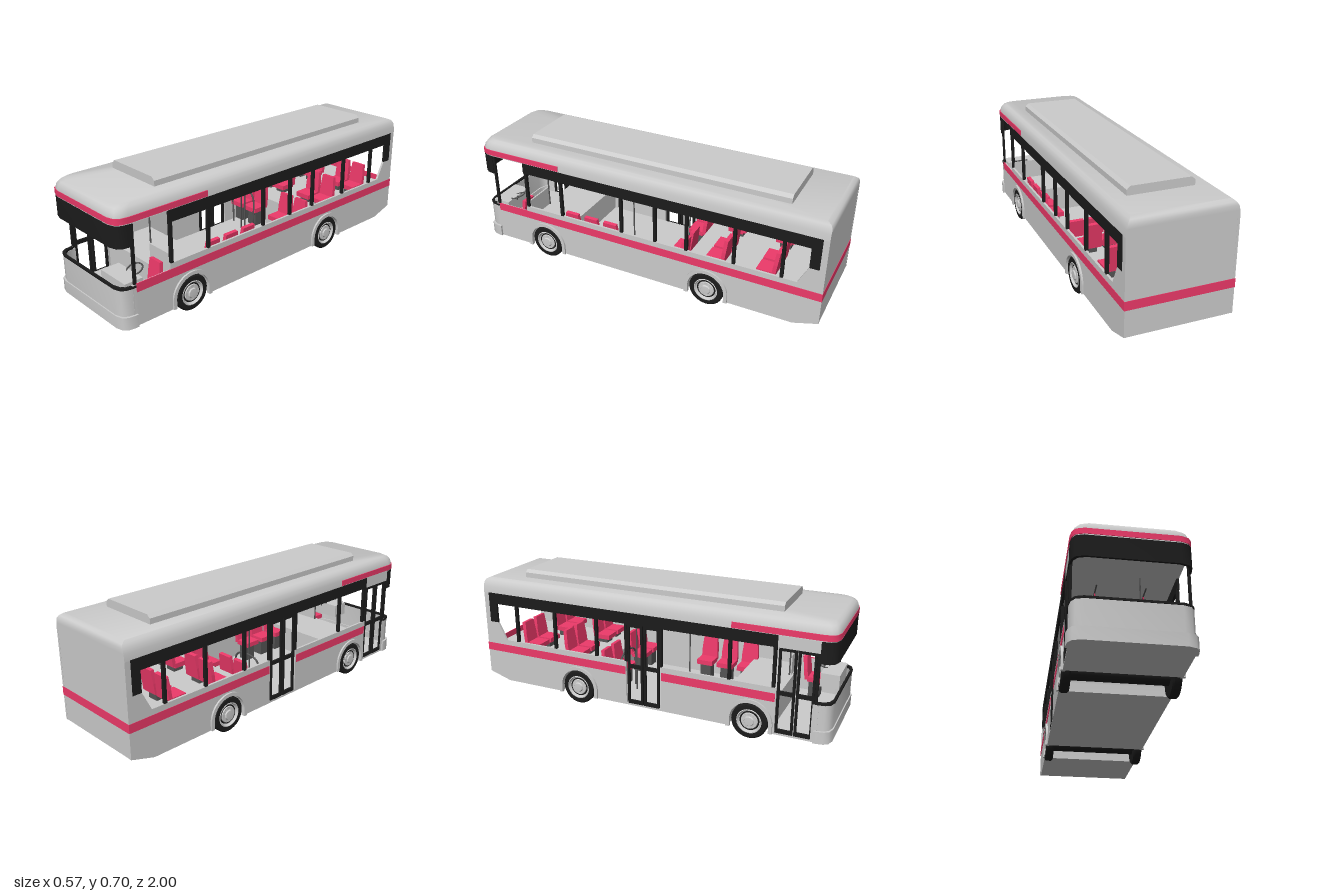
import * as THREE from 'three';
import { toCreasedNormals, mergeVertices } from 'three/addons/utils/BufferGeometryUtils.js';

const paint = (color) => new THREE.MeshStandardMaterial({ color });
const grey = paint(0xcccccc), red = paint(0xee3a6a), black = paint(0x1c1c1c), dark = paint(0x555555);
const HW = 0.273; // half width of the body
const WHEELS = [0.59, -0.4];
const AXLE_Y = 0.095;

const toShape = (pts) => new THREE.Shape(pts.map(([a, b]) => new THREE.Vector2(a, b)));

// Plan outline of the nose with rounded corners, from +x back round to -x back
function nose(hw, zf, zb) {
  const half = [[hw, zb], [hw, zf - 0.07], [hw - 0.006, zf - 0.035], [hw - 0.022, zf - 0.012], [hw - 0.06, zf]];
  return [...half, ...half.map(([x, z]) => [-x, z]).reverse()];
}

// Thin wall following the nose outline between two heights
function noseShell(hw, zf, zb, y0, y1, t) {
  const shape = toShape([...nose(hw, zf, zb), ...nose(hw - t, zf - t, zb).reverse()]);
  const g = new THREE.ExtrudeGeometry(shape, { depth: y1 - y0, bevelEnabled: false });
  return toCreasedNormals(g.rotateX(Math.PI / 2).translate(0, y1, 0), 0.7);
}

// Flat (z, y) shape extruded across x, with its outer face at x1
function across(shape, x1, depth) {
  const g = new THREE.ExtrudeGeometry(shape, { depth, bevelEnabled: false, curveSegments: 24 });
  return toCreasedNormals(g.rotateY(-Math.PI / 2).translate(x1, 0, 0), 0.5);
}

function box(x0, x1, y0, y1, z0, z1) {
  return new THREE.BoxGeometry(x1 - x0, y1 - y0, z1 - z0).translate((x0 + x1) / 2, (y0 + y1) / 2, (z0 + z1) / 2);
}

function tube(pts, r, segments = 1) {
  const v = pts.map((p) => new THREE.Vector3(...p));
  const curve = v.length === 2 ? new THREE.LineCurve3(...v) : new THREE.CatmullRomCurve3(v);
  return new THREE.TubeGeometry(curve, segments, r, 8);
}

// Underside line from front to back with both wheel arches cut out
function bottomLine(shape, zFront, zBack, r) {
  shape.moveTo(zFront, 0.05);
  for (const z of WHEELS) {
    shape.lineTo(z + r, 0.05).lineTo(z + r, AXLE_Y);
    shape.absarc(z, AXLE_Y, r, 0, Math.PI, false);
    shape.lineTo(z - r, 0.05);
  }
  return shape.lineTo(-0.87, 0.05).lineTo(zBack, 0.09);
}

// Roof lofted through shrinking plan outlines
function roofGeometry() {
  const levels = [[0.57, 0, 0, 0], [0.605, 0.003, 0, 0], [0.63, 0.01, 0.006, 0], [0.645, 0.02, 0.016, 0.008], [0.656, 0.034, 0.035, 0.03]];
  const pos = [], idx = [];
  for (const [y, dx, df, db] of levels)
    for (const [x, z] of nose(HW + 0.001 - dx, 0.998 - df, -1 + db)) pos.push(x, y, z);
  const n = 10, top = (levels.length - 1) * n;
  for (let j = 0; j < levels.length - 1; j++)
    for (let i = 0; i < n; i++) {
      const a = j * n + i, b = j * n + (i + 1) % n;
      idx.push(a, a + n, b, b, a + n, b + n);
    }
  for (let i = 1; i < n - 1; i++) idx.push(0, i, i + 1, top, top + i + 1, top + i);
  const g = new THREE.BufferGeometry();
  g.setAttribute('position', new THREE.Float32BufferAttribute(pos, 3));
  g.setIndex(idx);
  return toCreasedNormals(mergeVertices(g), 0.75);
}

export function createModel() {
  const bus = new THREE.Group();
  bus.name = 'bus';
  const add = (name, geometry, material, parent = bus) => {
    const m = new THREE.Mesh(geometry, material);
    m.name = name;
    parent.add(m);
    return m;
  };

  // Roof, rooftop unit and upper stripe
  add('roof', roofGeometry(), grey);
  const unit = toShape([[-0.17, 0.65], [0.17, 0.65], [0.17, 0.684], [0.152, 0.7], [-0.152, 0.7], [-0.17, 0.684]]);
  add('roofUnit', new THREE.ExtrudeGeometry(unit, { depth: 1.49, bevelEnabled: false }).translate(0, 0, -0.78), grey);
  add('upperStripe', noseShell(HW + 0.003, 1, 0.48, 0.575, 0.605, 0.006), red);

  // Nose
  add('visor', noseShell(HW + 0.002, 0.998, 0.92, 0.46, 0.571, 0.01), black);
  add('windshieldSill', noseShell(HW + 0.001, 0.996, 0.91, 0.25, 0.262, 0.012), black);
  add('frontPanel', noseShell(HW, 0.994, 0.9, 0.06, 0.25, 0.012), grey);
  add('bumper', noseShell(0.284, 1, 0.915, 0.05, 0.115, 0.025), grey);

  // Floor with wheel tunnels
  const floor = bottomLine(new THREE.Shape(), 0.975, -0.99, 0.112);
  [[-0.99, 0.24], [-0.27, 0.24], [-0.27, 0.08], [0.45, 0.08], [0.45, 0.225], [0.71, 0.225], [0.71, 0.08], [0.975, 0.08]]
    .forEach(([z, y]) => floor.lineTo(z, y));
  add('floor', across(floor, 0.262, 0.524), grey);

  // Rear wall
  add('rearWall', new THREE.PlaneGeometry(2 * HW, 0.48).rotateY(Math.PI).translate(0, 0.33, -0.999), grey);
  add('rearStripe', box(-HW - 0.002, HW + 0.002, 0.225, 0.27, -1.001, -0.997), red);

  // Side walls; the right side has two doors
  for (const s of [1, -1]) {
    const place = (name, shape, mat, out = 0, depth = 0.012) =>
      add(name, across(shape, s > 0 ? HW + out : -HW - out + depth, depth), mat);
    const low = bottomLine(new THREE.Shape(), 0.93, -1, 0.105);
    const topLine = s > 0
      ? [[-1, 0.3], [0.715, 0.3], [0.715, 0.265], [0.93, 0.265]]
      : [[-1, 0.3], [-0.1, 0.3], [-0.1, 0.06], [0.1, 0.06], [0.1, 0.3], [0.72, 0.3], [0.72, 0.06], [0.91, 0.06], [0.91, 0.262], [0.93, 0.262]];
    topLine.forEach(([z, y]) => low.lineTo(z, y));
    place('lowerSide', low, grey);
    place('rearSide', toShape([[-0.87, 0.3], [-0.92, 0.4], [-0.97, 0.4], [-0.97, 0.57], [-1, 0.57], [-1, 0.3]]), grey);
    place('windowBand', toShape([[0.715, 0.51], [0.715, 0.572], [-0.97, 0.572], [-0.97, 0.4], [-0.92, 0.4], [-0.92, 0.51]]), black, 0.001);
    for (const z of [0.703, 0.475, 0.1, -0.1, -0.28, -0.54, -0.79])
      add('windowPillar', box(s * HW - 0.008, s * HW + 0.008, 0.3, 0.515, z - 0.008, z + 0.008).translate(-s * 0.008, 0, 0), black);
    add('cornerPillar', box(s * 0.266 - 0.006, s * 0.266 + 0.006, 0.255, 0.572, 0.907, 0.921), black);
    const runs = s > 0 ? [[-1, 0.91]] : [[-1, -0.105], [0.105, 0.715]];
    for (const [z0, z1] of runs)
      add('sideStripe', box(s * HW - 0.002, s * HW + 0.002, 0.225, 0.27, z0, z1), red);

    // Wheel arch trims, wheels
    for (const z of WHEELS) {
      const trim = new THREE.Shape().moveTo(z + 0.121, 0.05).lineTo(z + 0.121, AXLE_Y);
      trim.absarc(z, AXLE_Y, 0.121, 0, Math.PI, false);
      trim.lineTo(z - 0.121, 0.05).lineTo(z - 0.102, 0.05).lineTo(z - 0.102, AXLE_Y);
      trim.absarc(z, AXLE_Y, 0.102, Math.PI, 0, true);
      trim.lineTo(z + 0.102, 0.05);
      place('archTrim', trim, grey, 0.01, 0.02);

      const wheel = new THREE.Group();
      wheel.name = 'wheel';
      const lathe = (pts) => toCreasedNormals(
        new THREE.LatheGeometry(pts.map(([r, a]) => new THREE.Vector2(r, a)), 32).rotateZ(-Math.PI / 2), 0.6);
      add('tyre', lathe([[0, -0.03], [0.088, -0.03], [0.095, -0.022], [0.095, 0.007], [0.088, 0.014], [0.064, 0.014]]), black, wheel);
      add('rim', lathe([[0.066, 0.014], [0.062, 0.016], [0.056, 0.004], [0.047, 0], [0.042, 0.01], [0.027, 0.012], [0.023, 0.018], [0, 0.018]]), grey, wheel);
      add('rimRing', new THREE.TorusGeometry(0.048, 0.004, 8, 32).rotateY(Math.PI / 2).translate(0.003, 0, 0), black, wheel);
      wheel.position.set(s * 0.263, AXLE_Y, z);
      if (s < 0) wheel.rotation.y = Math.PI;
      bus.add(wheel);
    }
    add('ceilingRail', tube([[s * 0.12, 0.525, 0.68], [s * 0.12, 0.525, -0.85]], 0.004), dark);
    for (const z of [0.6, 0.45, 0.3, -0.2])
      add('handStrap', new THREE.TorusGeometry(0.014, 0.003, 6, 3).rotateZ(Math.PI / 2).rotateY(Math.PI / 2).translate(s * 0.12, 0.508, z), red);
  }
  for (const z of WHEELS)
    add('axle', new THREE.CylinderGeometry(0.036, 0.036, 0.48, 20).rotateZ(Math.PI / 2).translate(0, AXLE_Y, z), black);

  // Double doors on the right side
  const rect = (z0, z1, y0, y1) => [[z0, y0], [z1, y0], [z1, y1], [z0, y1]];
  for (const [z0, z1] of [[-0.092, 0.092], [0.722, 0.906]]) {
    const mid = (z0 + z1) / 2;
    for (const [a, b] of [[z0, mid - 0.003], [mid + 0.003, z1]]) {
      const leaf = toShape(rect(a, b, 0.06, 0.51));
      leaf.holes.push(toShape(rect(a + 0.012, b - 0.012, 0.08, 0.265)), toShape(rect(a + 0.012, b - 0.012, 0.285, 0.495)));
      add('doorLeaf', across(leaf, -HW + 0.013, 0.012), black);
    }
  }
  add('doorHeader', box(-HW, -HW + 0.012, 0.51, 0.572, 0.712, 0.92), grey);

  // Passenger seats
  const backShape = toShape([[-0.047, 0], [0.047, 0], [0.046, 0.06], [0.039, 0.13], [-0.039, 0.13], [-0.046, 0.06]]);
  const backGeo = new THREE.ExtrudeGeometry(backShape, { depth: 0.02, bevelEnabled: false }).rotateX(-0.12);
  const seat = (name, x, y, z, turn = 0) => {
    const g = new THREE.Group();
    g.name = name;
    add('seatBack', backGeo, red, g);
    add('seatCushion', box(-0.046, 0.046, -0.01, 0.016, 0.015, 0.1), red, g);
    add('seatBase', box(-0.03, 0.03, -0.1, -0.01, 0.02, 0.08), dark, g);
    g.position.set(x, y, z);
    g.rotation.y = turn;
    bus.add(g);
  };
  for (const x of [-0.208, -0.1, 0.1, 0.208]) {
    seat('rearSeat', x, 0.284, -0.755);
    seat('middleSeat', x, 0.275, -0.485);
    seat('lowSeat', x, 0.196, -0.25);
  }
  for (const z of [0.425, 0.305, 0.185]) seat('sideSeat', 0.235, 0.186, z, -Math.PI / 2);

  // Poles and rail
  for (const [x, z] of [[-0.128, -0.11], [0.087, 0.69], [0.125, 0.1]])
    add('pole', tube([[x, 0.08, z], [x, 0.57, z]], 0.004), dark);
  add('guardRail', tube([[-0.235, 0.08, -0.15], [-0.235, 0.28, -0.15], [-0.205, 0.308, -0.15],
    [-0.1, 0.308, -0.15], [-0.07, 0.28, -0.15], [-0.07, 0.08, -0.15]], 0.005, 40), dark);

  // Driver's area
  add('partition', box(0.09, 0.26, 0.08, 0.335, 0.692, 0.7), grey);
  add('dashboard', box(0.06, 0.255, 0.2, 0.276, 0.86, 0.96), grey);
  seat('driverSeat', 0.21, 0.18, 0.755);
  add('steeringWheel', new THREE.TorusGeometry(0.04, 0.004, 8, 28).rotateX(-1.2).translate(0.175, 0.284, 0.85), dark);
  add('steeringColumn', tube([[0.175, 0.284, 0.85], [0.175, 0.22, 0.88]], 0.006), dark);
  return bus;
}
